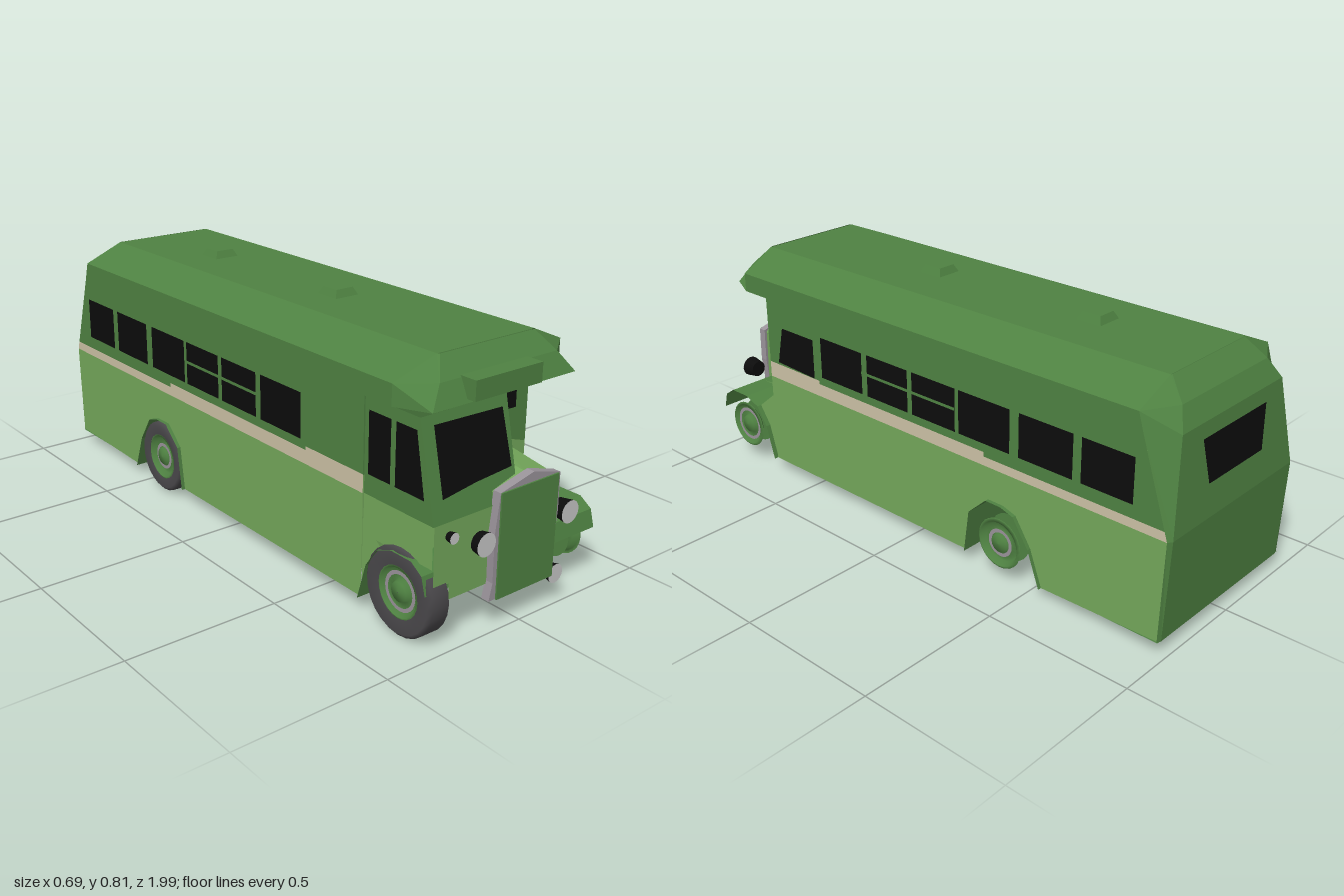
import * as THREE from 'three';

export function createModel() {
  const bus = new THREE.Group();
  bus.name = 'halfCabBus';
  const paint = (name, color) => {
    const m = new THREE.MeshStandardMaterial({ color, side: THREE.DoubleSide });
    m.name = name;
    return m;
  };
  const dark = paint('darkGreen', 0x4f8242), light = paint('lightGreen', 0x74a85b);
  const cream = paint('cream', 0xcdc2a6), glass = paint('blackGlass', 0x0c0c0c);
  const rubber = paint('tyreGrey', 0x4a484b), lamp = paint('lampGrey', 0xc8c8c8);
  const metal = paint('radiatorGrey', 0x9a939a);

  const add = (name, geo, mat, x = 0, y = 0, z = 0, parent = bus) => {
    const m = new THREE.Mesh(geo, mat);
    m.name = name;
    m.position.set(x, y, z);
    parent.add(m);
    return m;
  };
  const shape = pts => new THREE.Shape(pts.map(p => new THREE.Vector2(...p)));

  // Flat outline placed in space by a rule (u, v) -> [x, y, z]; flip reverses the facing
  const plate = (name, mat, pts, rule, flip = false) => {
    const g = new THREE.ShapeGeometry(shape(pts)), p = g.attributes.position;
    for (let i = 0; i < p.count; i++) p.setXYZ(i, ...rule(p.getX(i), p.getY(i)));
    if (flip) g.index.array.reverse();
    g.computeVertexNormals();
    return add(name, g, mat);
  };
  const sidePlate = (name, mat, x, pts) => plate(name, mat, pts, (z, y) => [x, y, z], x > 0);
  const rect = (a, b, c, d) => [[a, c], [b, c], [b, d], [a, d]];

  // Faceted skin through rows of [x, y, z] points
  const loft = (name, mat, rows) => {
    const n = rows[0].length, idx = [];
    for (let r = 0; r < rows.length - 1; r++) for (let i = 0; i < n - 1; i++) {
      const a = r * n + i, b = a + n;
      idx.push(a, a + 1, b, b, a + 1, b + 1);
    }
    const base = new THREE.BufferGeometry();
    base.setAttribute('position', new THREE.Float32BufferAttribute(rows.flat(2), 3));
    base.setIndex(idx);
    const g = base.toNonIndexed();
    g.computeVertexNormals();
    return add(name, g, mat);
  };
  // Strip of [z, y] points stretched between two x positions
  const strip = (name, mat, x0, x1, pts) =>
    loft(name, mat, [x1, x0].map(x => pts.map(([z, y]) => [x, y, z])));
  // Row from right to left with an outer and an inner corner on each side
  const endRow = (y, xo, zo, xi, zi) => [[-xo, y, zo], [-xi, y, zi], [xi, y, zi], [xo, y, zo]];

  // Body sides, windows and waistband
  const arch = [[-.555, .04], [-.51, .16], [-.45, .25], [-.4, .265], [-.34, .265], [-.27, .2], [-.25, .05]];
  const W = .33, rearZ = y => -.985 + (y - .375) * .328;
  const bays = [[.21, .41], [0, .185], [-.205, -.02], [-.425, -.22], [-.66, -.46], [-.87, -.69]];
  for (const s of [1, -1]) {
    const x = s * W, xw = s * (W + .003);
    sidePlate('skirt', light, x, [[-.975, .05], ...arch, [.69, .05], [.69, .375], [-.985, .375]]);
    sidePlate('waistband', cream, x, [[-.985, .375], [.69, .375], [.69, .432], [.43, .432], [.43, .42],
      [-.32, .42], [-.32, .405], [rearZ(.405), .405]]);
    sidePlate('windowSurround', dark, x, [[rearZ(.405), .405], [-.32, .405], [-.32, .42], [.43, .42],
      [.43, .432], [.69, .432], [.69, .665], [-.89, .665]]);
    for (const [a, b] of bays) sidePlate('sideWindow', glass, xw, rect(a, b, .45, .595));
    sidePlate('windowBar', dark, s * (W + .005), rect(-.205, .21, .522, .532));
  }
  sidePlate('frontSideWindow', glass, W + .003, [[.45, .435], [.64, .442], [.61, .575], [.45, .575]]);

  // Roof
  const roofLine = [[-W, .665], [-W, .73], [-.19, .79], [.19, .79], [W, .73], [W, .665]];
  loft('roof', dark, [[-.87, .8], [.82, .8]].map(([top, side], r) =>
    roofLine.map(([x, y]) => [x, y, y > .75 ? top : r ? side : y > .7 ? -.87 : -.89])));
  loft('roofFront', dark, [
    endRow(.665, W, .8, .28, .905), endRow(.73, W, .8, .23, .875), endRow(.79, .19, .82, .185, .825)]);
  add('destinationBox', new THREE.BoxGeometry(.26, .06, .08), dark, -.02, .705, .89);
  for (const z of [.19, -.47]) {
    const g = new THREE.CylinderGeometry(.046, .064, .025, 4).rotateY(Math.PI / 4).toNonIndexed();
    g.computeVertexNormals();
    add('roofVent', g, dark, -.015, .802, z);
  }

  // Rear end
  loft('rearPanel', dark, [
    endRow(.79, .19, -.87, .185, -.872), endRow(.73, W, -.87, .22, -.932), endRow(.665, W, -.89, .26, -.965),
    endRow(.375, W, -.985, .315, -.995), endRow(.045, W, -.975, .315, -.98)]);
  plate('rearWindow', glass, [[-.14, .48], [.14, .48], [.165, .62], [-.165, .62]],
    (x, y) => [x, y, -.998 + (y - .375) * .1034], true);
  plate('rearFloor', dark, rect(-W, W, -.978, -.555), (x, z) => [x, .045, z], true);
  strip('rearWheelArch', dark, -.343, .343, arch);

  // Bulkhead beside the bonnet
  const bulk = (x, y) => [x, y, .69];
  plate('bulkheadLower', light, [[-W, .14], [W, .14], [W, .37], [.14, .43], [-W, .43]], bulk);
  plate('bulkheadUpper', dark, [[-W, .43], [.14, .43], [W, .37], [W, .665], [-W, .665]], bulk);
  plate('bulkheadWindow', glass, rect(.012, .275, .495, .625), (x, y) => [x, y, .694]);

  // Driver's cab
  const cabZ = y => .97 - Math.max(0, y - .375) * .22;
  const cabFront = (x, y) => [x, y, cabZ(y)];
  const cabGlass = (x, y) => [x, y, cabZ(y) + .004];
  plate('cabFrontLower', light, [[-.26, .14], [-.1, .14], [-.1, .375], [-.322, .375], [-.318, .19], [-.26, .19]], cabFront);
  plate('cabFrontUpper', dark, [[-.325, .375], [-.005, .375], [-.005, .665], [-.325, .665]], cabFront);
  plate('windscreen', glass, [[-.285, .44], [-.16, .456], [-.02, .466], [-.03, .632], [-.285, .638]], cabGlass);
  const cabUpper = y => [[.69, y], [cabZ(y), y], [cabZ(.665), .665], [.69, .665]];
  sidePlate('cabSideLower', light, -.325, rect(.69, .97, .25, .375));
  sidePlate('cabSideUpper', dark, -.325, cabUpper(.375));
  sidePlate('cabDoorWindow', glass, -.329, rect(.71, .8, .44, .63));
  sidePlate('cabQuarterWindow', glass, -.329, [[.82, .44], [.935, .44], [.9, .63], [.82, .63]]);
  plate('cabInnerWall', dark, cabUpper(.4), (z, y) => [-.005, y, z], true);
  plate('cabInnerWindow', glass, [[.72, .49], [.925, .49], [.91, .595], [.725, .595]], (z, y) => [-.001, y, z], true);

  // Bonnet and radiator
  const bonnetRear = [[-.1, .15], [-.1, .42], [.03, .465], [.16, .44], [.205, .4], [.2, .15]];
  const bonnetNose = [[-.1, .15], [-.1, .415], [.02, .445], [.122, .42], [.13, .41], [.135, .15]];
  loft('bonnet', light, [bonnetRear.map(([x, y]) => [x, y, .69]), bonnetNose.map(([x, y]) => [x, y, .97])]);
  const shell = [[-.125, .097], [-.098, .097], [.108, .097], [.125, .14], [.142, .3], [.14, .42],
    [.03, .45], [-.1, .42], [-.115, .3], [-.113, .15]];
  add('radiatorShell', new THREE.ExtrudeGeometry(shape(shell), { depth: .028, bevelEnabled: false }), metal, 0, 0, .966);
  add('radiatorCore', new THREE.BoxGeometry(.23, .325, .005), dark, .016, .258, .9965);

  // Front mudguards
  const guard = [[.69, .05], [.725, .17], [.77, .235], [.83, .258], [.91, .258], [.952, .23], [.967, .175]];
  strip('rightMudguard', dark, -.345, -.24, guard);
  strip('leftMudguard', dark, .137, .345, guard);
  for (const s of [1, -1])
    sidePlate('mudguardFlare', light, s * .328, [[.69, .05], [.725, .17], [.77, .235], [.69, .3]]);
  plate('leftValance', light, [[.69, .1], [.8, .15], [.965, .175], [.9, .258], [.69, .27]],
    (z, y) => [.21, y, z], true);

  // Lamps
  const addLamp = (name, x, y, z, r, depth) => {
    const g = new THREE.Group();
    g.name = name;
    g.position.set(x, y, z);
    bus.add(g);
    add('lampBody', new THREE.CylinderGeometry(r, r * .8, depth, 16).rotateX(Math.PI / 2), glass, 0, 0, -depth / 2, g);
    add('lampLens', new THREE.CircleGeometry(r, 16), lamp, 0, 0, .001, g);
  };
  addLamp('rightHeadlamp', -.15, .282, .998, .036, .045);
  addLamp('leftHeadlamp', .191, .282, .998, .036, .045);
  addLamp('fogLamp', .146, .098, .998, .03, .027);
  addLamp('rightSideLamp', -.266, .334, .99, .017, .02);
  addLamp('leftSideLamp', .246, .334, .715, .017, .024);

  // Wheels: profiles of [radius, offset] turned about the axle
  const turn = pts => new THREE.LatheGeometry(pts.map(p => new THREE.Vector2(...p)), 24).rotateZ(-Math.PI / 2);
  const addWheel = (name, s, y, z, r, ring) => {
    const g = new THREE.Group();
    g.name = name;
    g.position.set(s * .3, y, z);
    bus.add(g);
    if (s < 0) add('tyre', turn([[.08, -.035], [r - .012, -.04], [r, -.03], [r, .03], [r - .012, .04], [.08, .035]]), rubber, 0, 0, 0, g);
    add('hub', turn([[.085, .03], [.075, .036], [.066, .015], [.035, .015], [.03, .032], [.001, .036]]), dark, 0, 0, 0, g).scale.x = s;
    add('hubInner', turn([[.08, .01], [.03, .01], [.001, .012]]), dark, -s * .03, 0, 0, g);
    add('hubRing', turn([[ring + .012, .026], [ring, .026]]), metal, 0, 0, 0, g).scale.x = s;
  };
  for (const s of [1, -1]) {
    addWheel('frontWheel', s, .135, .85, .135, .05);
    addWheel('rearWheel', s, .128, -.387, .125, .035);
  }
  return bus;
}
